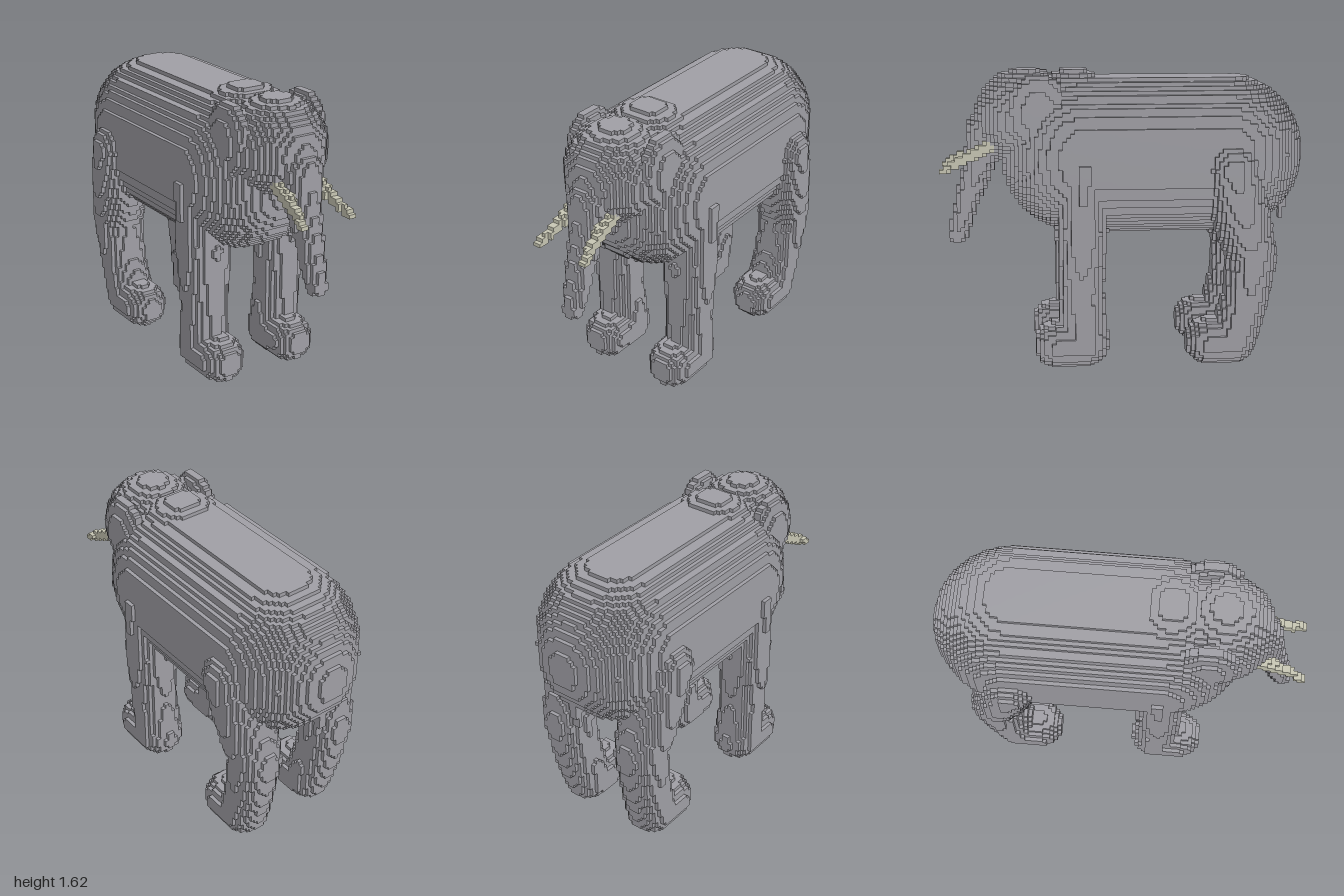
import * as THREE from 'three';

const CELL = 2 / 94;            // edge of one block
const HX = 24, NY = 78, HZ = 47; // half width, height and half length in blocks

// Tapered limb through points [x, y, z, radius]
function limb(points) {
  return (x, y, z) => {
    for (let i = 0; i < points.length - 1; i++) {
      const [ax, ay, az, ar] = points[i], [bx, by, bz, br] = points[i + 1];
      const dx = bx - ax, dy = by - ay, dz = bz - az;
      let t = ((x - ax) * dx + (y - ay) * dy + (z - az) * dz) / (dx * dx + dy * dy + dz * dz);
      t = Math.min(1, Math.max(0, t));
      const d = Math.hypot(x - ax - t * dx, y - ay - t * dy, z - az - t * dz);
      if (d < ar + (br - ar) * t) return true;
    }
    return false;
  };
}

const ellipsoid = (cx, cy, cz, rx, ry, rz) => (x, y, z) =>
  ((x - cx) / rx) ** 2 + ((y - cy) / ry) ** 2 + ((z - cz) / rz) ** 2 < 1;

// Barrel with rounded chest and rump
function barrel(x, y, z) {
  const e = 2.4;
  const r = (Math.abs(x / 0.388) ** e + Math.abs((y - 1.155) / 0.428) ** e) ** (1 / e);
  const dz = z > 0.235 ? z - 0.235 : z < -0.57 ? -0.57 - z : 0;
  return r * r + (dz / 0.43) ** 2 < 1;
}

const skull = ellipsoid(0, 1.355, 0.54, 0.265, 0.265, 0.265);
const nape = ellipsoid(0, 1.345, 0.265, 0.29, 0.275, 0.26);

// Paired shapes, described on the +x side
const pairs = {
  FrontLeg: limb([[0.295, 1.1, 0.23, 0.105], [0.25, 0.75, 0.235, 0.14], [0.245, 0.42, 0.24, 0.12],
    [0.232, 0.13, 0.22, 0.13], [0.232, 0.125, 0.375, 0.125]]),
  HindLeg: limb([[0.3, 1.1, -0.57, 0.147], [0.265, 0.84, -0.63, 0.157], [0.25, 0.6, -0.7, 0.135],
    [0.245, 0.36, -0.665, 0.125], [0.232, 0.13, -0.6, 0.13], [0.232, 0.125, -0.46, 0.125]]),
  Ear: ellipsoid(0.235, 1.4, 0.465, 0.062, 0.205, 0.165),
  Tusk: limb([[0.11, 1.23, 0.68, 0.04], [0.12, 1.15, 0.84, 0.028], [0.147, 1.075, 0.985, 0.02]]),
};

// Collects the outer block faces of one part
function blockGeometry(cells, filled) {
  const pos = [], nor = [], idx = [];
  for (const c of cells) {
    for (let axis = 0; axis < 3; axis++) {
      for (const s of [-1, 1]) {
        const n = [0, 0, 0];
        n[axis] = s;
        if (filled(c[0] + n[0], c[1] + n[1], c[2] + n[2])) continue;
        const u = (axis + 1) % 3, v = (axis + 2) % 3, base = pos.length / 3;
        for (const [a, b] of [[0, 0], [1, 0], [1, 1], [0, 1]]) {
          const p = [...c];
          p[axis] += s > 0 ? 1 : 0;
          p[u] += a;
          p[v] += b;
          pos.push(p[0] * CELL, p[1] * CELL, p[2] * CELL);
          nor.push(...n);
        }
        if (s > 0) idx.push(base, base + 1, base + 2, base, base + 2, base + 3);
        else idx.push(base, base + 2, base + 1, base, base + 3, base + 2);
      }
    }
  }
  const g = new THREE.BufferGeometry();
  g.setAttribute('position', new THREE.Float32BufferAttribute(pos, 3));
  g.setAttribute('normal', new THREE.Float32BufferAttribute(nor, 3));
  g.setIndex(idx);
  return g;
}

export function createModel() {
  const hide = new THREE.MeshStandardMaterial({ color: 0xa09fa5 });
  hide.name = 'grey hide';
  const ivory = new THREE.MeshStandardMaterial({ color: 0xc8c7b4 });
  ivory.name = 'ivory';

  const parts = [
    { name: 'body', test: barrel, material: hide },
    { name: 'head', test: (x, y, z) => skull(x, y, z) || nape(x, y, z), material: hide },
    { name: 'trunk', material: hide, test: limb([[0, 1.28, 0.74, 0.115], [0, 1.1, 0.785, 0.085],
      [0, 0.9, 0.855, 0.066], [0, 0.705, 0.91, 0.052]]) },
    { name: 'tail', material: hide, test: limb([[0, 1.05, -0.93, 0.02], [0, 0.785, -0.906, 0.018]]) },
  ];
  for (const [name, test] of Object.entries(pairs)) {
    for (const side of [-1, 1]) {
      parts.push({
        name: (side > 0 ? 'left' : 'right') + name,
        test: (x, y, z) => x * side > 0 && test(x * side, y, z),
        material: name === 'Tusk' ? ivory : hide,
      });
    }
  }

  // Give each block to the first part that contains its centre
  const taken = new Set();
  const key = (i, j, k) => ((i + 50) * 100 + j + 1) * 100 + k + 50;
  for (const p of parts) p.cells = [];
  for (let i = -HX; i < HX; i++) {
    for (let j = 0; j < NY; j++) {
      for (let k = -HZ; k < HZ; k++) {
        const x = (i + 0.5) * CELL, y = (j + 0.5) * CELL, z = (k + 0.5) * CELL;
        const owner = parts.find((p) => p.test(x, y, z));
        if (!owner) continue;
        owner.cells.push([i, j, k]);
        taken.add(key(i, j, k));
      }
    }
  }

  const model = new THREE.Group();
  model.name = 'elephant';
  for (const p of parts) {
    const mesh = new THREE.Mesh(blockGeometry(p.cells, (i, j, k) => taken.has(key(i, j, k))), p.material);
    mesh.name = p.name;
    model.add(mesh);
  }
  return model;
}
